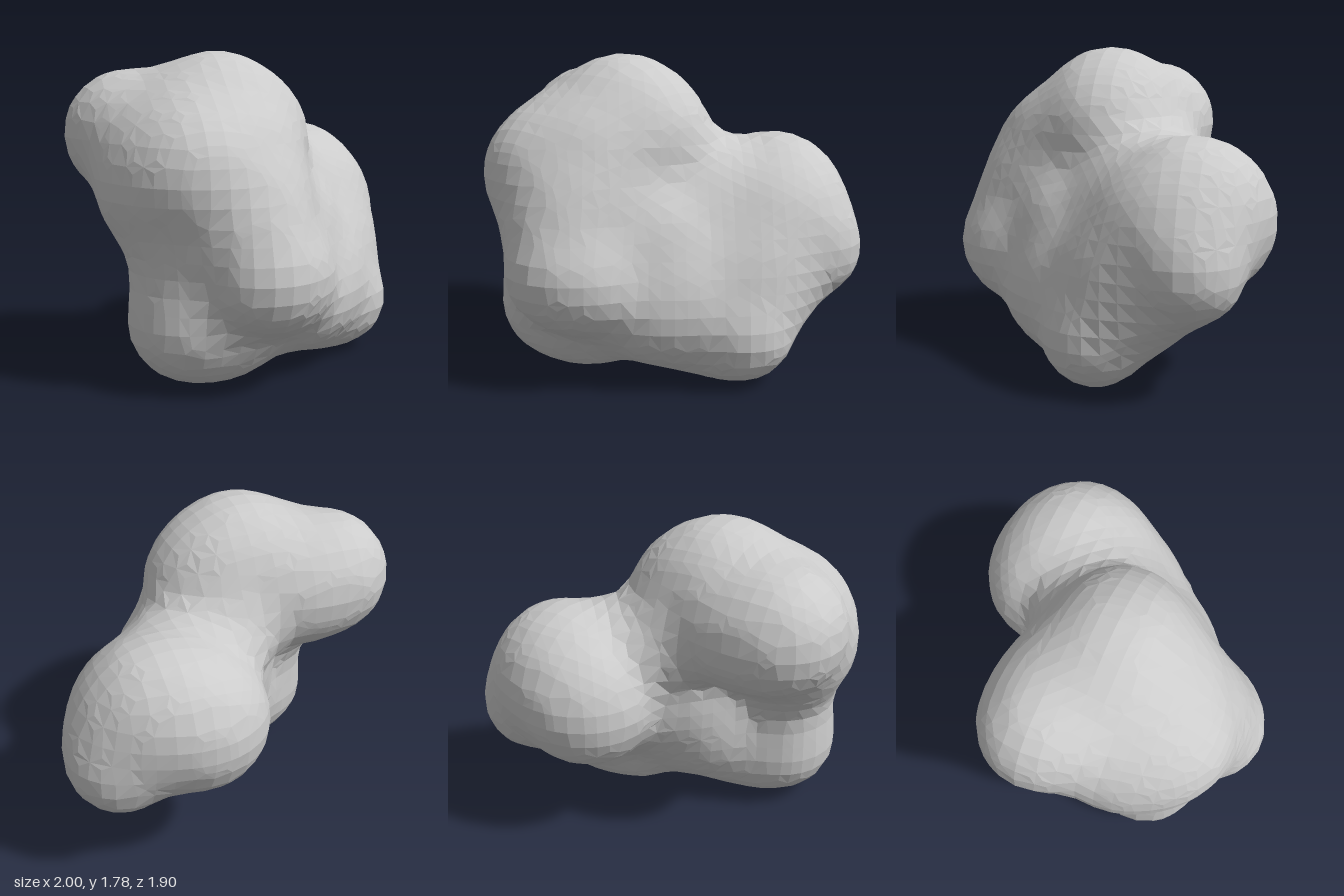
import * as THREE from 'three';

// Lobes of the boulder: x, y, z, radius
const LOBES = [
  // upper right-hand mass
  [-0.65, 1.33, -0.14, 0.35], [-0.4, 1.3, -0.13, 0.35], [-0.52, 1.25, 0.1, 0.345],
  // crown
  [-0.19, 1.39, 0.05, 0.395], [-0.01, 1.3, 0.03, 0.355], [-0.3, 1.25, 0.18, 0.385],
  // front shoulder
  [-0.38, 1.13, 0.41, 0.4], [-0.5, 1.06, 0.25, 0.38], [-0.15, 1.15, 0.28, 0.38], [-0.12, 0.9, 0.4, 0.36],
  // nose
  [-0.1, 0.65, 0.62, 0.325], [-0.2, 0.92, 0.5, 0.33], [0.05, 0.58, 0.5, 0.28],
  // front foot
  [-0.4, 0.7, 0.35, 0.335], [-0.42, 0.365, 0.36, 0.335], [-0.2, 0.335, 0.3, 0.32],
  // side foot
  [0.6, 0.31, -0.05, 0.29], [0.35, 0.33, 0, 0.31], [0.6, 0.5, -0.3, 0.27], [0.25, 0.42, 0.25, 0.3],
  // rear mass
  [0.7, 0.7, -0.54, 0.295], [0.28, 0.85, -0.56, 0.38], [0.4, 0.93, -0.55, 0.37], [0.52, 0.96, -0.5, 0.35],
  [0.62, 0.82, -0.45, 0.31], [0.5, 0.85, -0.3, 0.32], [-0.05, 1.13, -0.25, 0.25],
  // core
  [0.1, 0.75, 0.1, 0.42], [0.03, 0.75, -0.03, 0.35], [0.3, 0.7, -0.15, 0.37], [0.2, 1.0, -0.2, 0.34],
  [0.35, 0.5, 0.08, 0.32], [0, 0.5, 0.15, 0.39], [0.55, 0.6, -0.2, 0.33],
];
const BLEND = 0.15;
const CELL = 0.095;
const N = 27;
const START = [-1.23, -0.25, -1.23];

// Smoothly blended distance to all lobes
function field(x, y, z) {
  let d = 10;
  for (const [cx, cy, cz, r] of LOBES) {
    const s = Math.hypot(x - cx, y - cy, z - cz) - r;
    const h = Math.max(BLEND - Math.abs(d - s), 0) / BLEND;
    d = Math.min(d, s) - h * h * BLEND * 0.25;
  }
  return d;
}

// Pull a point onto the surface along the field gradient
function project(p) {
  const e = 0.02;
  for (let i = 0; i < 2; i++) {
    const [x, y, z] = p;
    const f = field(x, y, z);
    const g = [
      (field(x + e, y, z) - field(x - e, y, z)) / (2 * e),
      (field(x, y + e, z) - field(x, y - e, z)) / (2 * e),
      (field(x, y, z + e) - field(x, y, z - e)) / (2 * e),
    ];
    const l = Math.max(g[0] ** 2 + g[1] ** 2 + g[2] ** 2, 0.6);
    for (let a = 0; a < 3; a++) p[a] -= (f * g[a]) / l;
  }
  return p;
}

// Grid-based skin around the lobes: one vertex per crossed cell, one quad per crossed edge
function skin() {
  const id = (c) => (c[0] * N + c[1]) * N + c[2];
  const pos = (c) => c.map((v, a) => START[a] + v * CELL);
  const values = new Float32Array(N * N * N);
  const eachCell = (from, to, fn) => {
    for (let i = from; i < to; i++)
      for (let j = from; j < to; j++)
        for (let k = from; k < to; k++) fn([i, j, k]);
  };
  eachCell(0, N, (c) => { values[id(c)] = field(...pos(c)); });

  const vertices = [];
  const lookup = new Map();
  const step = (c, a, n) => c.map((v, i) => (i === a ? v + n : v));
  eachCell(0, N - 1, (c) => {
    const sum = [0, 0, 0];
    let count = 0;
    for (let a = 0; a < 3; a++) {
      const b = (a + 1) % 3, d = (a + 2) % 3;
      for (let m = 0; m < 4; m++) {
        const p = step(step(c, b, m & 1), d, m >> 1);
        const v0 = values[id(p)], v1 = values[id(step(p, a, 1))];
        if (v0 < 0 === v1 < 0) continue;
        const q = pos(p);
        q[a] += (CELL * v0) / (v0 - v1);
        q.forEach((v, i) => { sum[i] += v; });
        count++;
      }
    }
    if (!count) return;
    lookup.set(id(c), vertices.length / 3);
    vertices.push(...project(sum.map((v) => v / count)));
  });

  const index = [];
  eachCell(1, N - 1, (c) => {
    for (let a = 0; a < 3; a++) {
      const b = (a + 1) % 3, d = (a + 2) % 3;
      const inside = values[id(c)] < 0;
      if (inside === values[id(step(c, a, 1))] < 0) continue;
      const quad = [c, step(c, b, -1), step(step(c, b, -1), d, -1), step(c, d, -1)].map((q) => lookup.get(id(q)));
      if (!inside) quad.reverse();
      index.push(quad[0], quad[1], quad[2], quad[0], quad[2], quad[3]);
    }
  });

  const geometry = new THREE.BufferGeometry();
  geometry.setAttribute('position', new THREE.Float32BufferAttribute(vertices, 3));
  geometry.setIndex(index);
  geometry.computeVertexNormals();
  return geometry;
}

export function createModel() {
  const boulder = new THREE.Mesh(
    skin(),
    new THREE.MeshStandardMaterial({ color: 0xcccccc, flatShading: true }),
  );
  boulder.name = 'boulder';
  const group = new THREE.Group();
  group.name = 'rock';
  group.add(boulder);
  return group;
}
